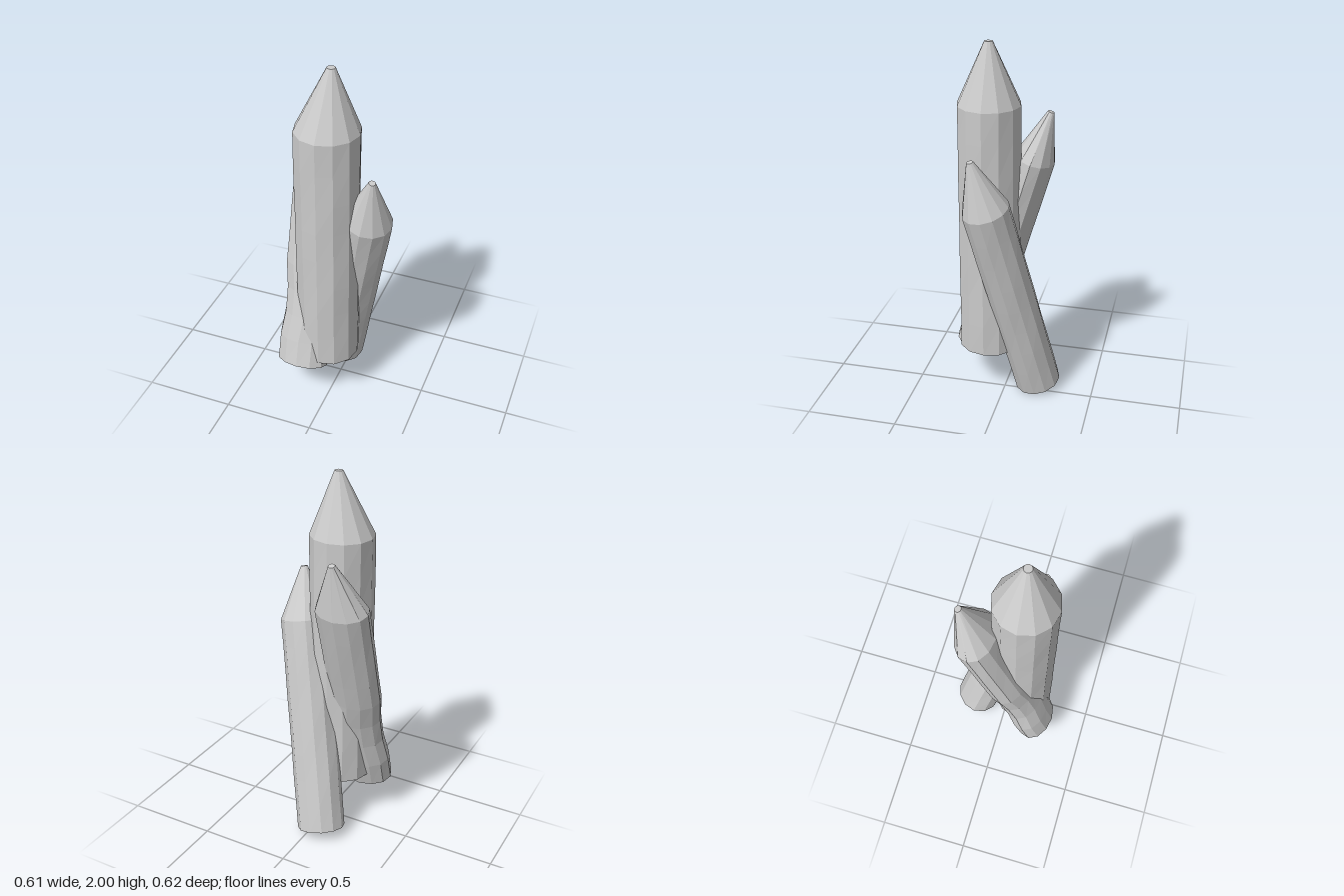
import * as THREE from 'three';

const SIDES = 12;
const ROWS = 8; // segments along the shaft, plus one for the point

// A sharpened log: straight shaft from base to shoulder, then a cone to a small blunt tip.
function stake({ name, base, shoulder, tip, rx, rz, tipRadius, wobble, bend }) {
  const a = new THREE.Vector3(...base);
  const b = new THREE.Vector3(...shoulder);
  const c = new THREE.Vector3(...tip);
  const tilt = new THREE.Quaternion().setFromUnitVectors(
    new THREE.Vector3(0, 1, 0), b.clone().sub(a).normalize());

  const geometry = new THREE.CylinderGeometry(1, 1, 1, SIDES, ROWS + 1);
  const pos = geometry.attributes.position;
  const p = new THREE.Vector3();
  const center = new THREE.Vector3();
  for (let i = 0; i < pos.count; i++) {
    p.fromBufferAttribute(pos, i);
    const row = Math.round((p.y + 0.5) * (ROWS + 1));
    const angle = Math.atan2(p.x, p.z);
    if (row > ROWS) {
      center.copy(c);
      p.set(p.x * tipRadius, 0, p.z * tipRadius);
    } else {
      center.lerpVectors(a, b, row / ROWS);
      center.x += bend[row] ?? 0;
      // slight hewn unevenness, periodic around the log
      const k = 1 + wobble * Math.sin(3 * angle + row * 1.9) * Math.sin(row * 2.3 + 1);
      p.set(p.x * rx * k, 0, p.z * rz * k);
    }
    p.applyQuaternion(tilt).add(center);
    pos.setXYZ(i, p.x, p.y, p.z);
  }
  geometry.computeVertexNormals();

  const mesh = new THREE.Mesh(geometry,
    new THREE.MeshStandardMaterial({ color: 0xcccccc, flatShading: true }));
  mesh.name = name;
  return mesh;
}

export function createModel() {
  const group = new THREE.Group();
  group.name = 'sharpenedStakes';
  group.add(
    // tall upright stake
    stake({
      name: 'tallStake', base: [-0.037, 0.27, 0.093], shoulder: [-0.037, 1.67, 0.093],
      tip: [-0.016, 2, 0.088], rx: 0.172, rz: 0.17, tipRadius: 0.022, wobble: 0.012, bend: {},
    }),
    // stake leaning backwards, slightly crooked near its foot
    stake({
      name: 'rightStake', base: [-0.153, 0.215, 0.205], shoulder: [-0.155, 1.36, -0.13],
      tip: [-0.14, 1.62, -0.213], rx: 0.148, rz: 0.109, tipRadius: 0.018, wobble: 0.012,
      bend: { 2: 0.018, 3: 0.018 },
    }),
    // short stake leaning forwards and outwards
    stake({
      name: 'leftStake', base: [-0.06, 0.036, -0.182], shoulder: [0.173, 1.17, 0.064],
      tip: [0.214, 1.44, 0.132], rx: 0.132, rz: 0.128, tipRadius: 0.018, wobble: 0.015,
      bend: {},
    }),
  );
  return group;
}
